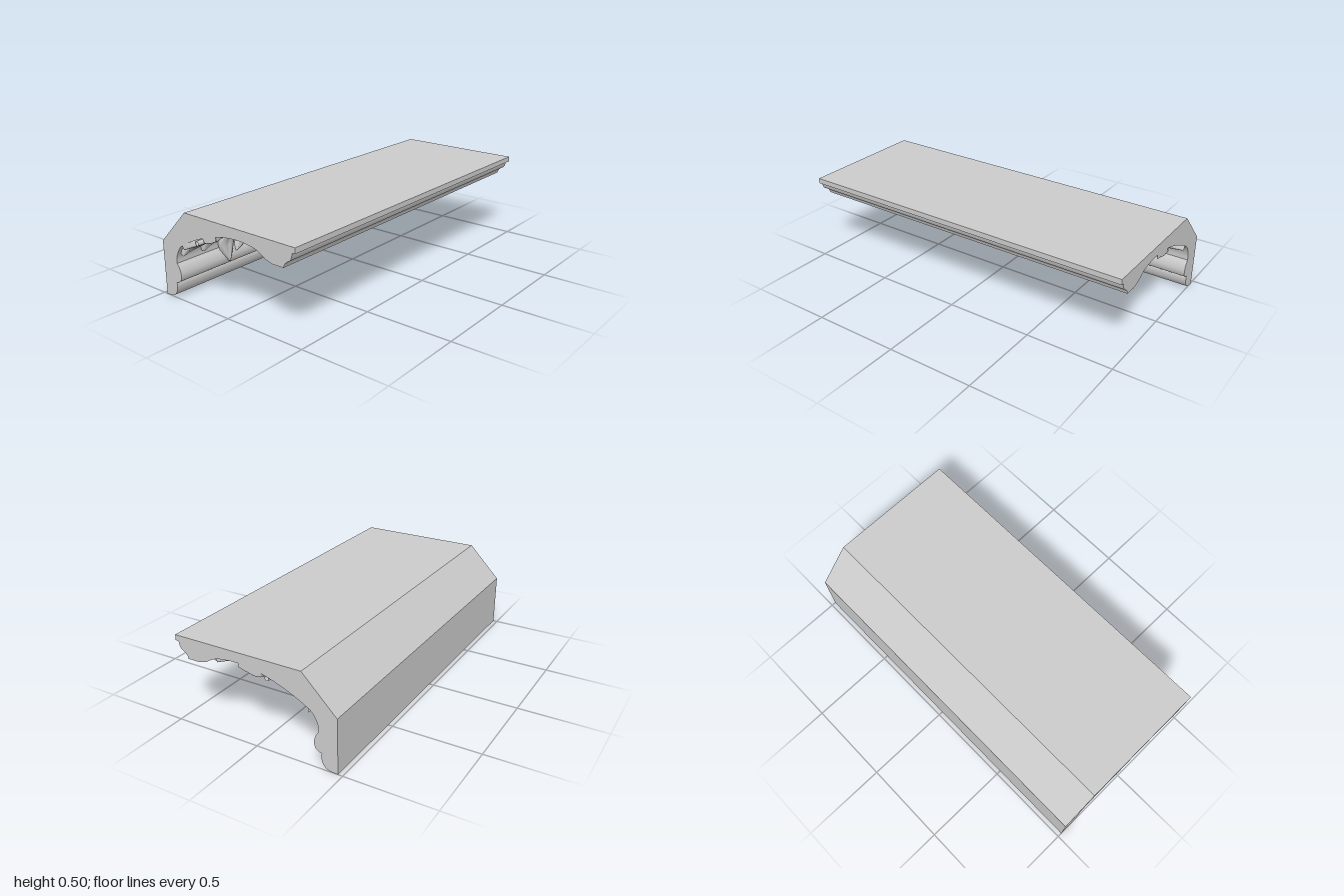
import * as THREE from 'three';
import { toCreasedNormals } from 'three/addons/utils/BufferGeometryUtils.js';

const grey = new THREE.MeshStandardMaterial({ color: 0xcccccc });
const leafGrey = new THREE.MeshStandardMaterial({ color: 0xcccccc, side: THREE.DoubleSide });
const v2 = (list) => list.map(([z, y]) => new THREE.Vector2(z, y));

// Guide curve across the cove, from the front lip over the top and down the back wall
const guide = new THREE.CatmullRomCurve3([
  [0.335, 0.385], [0.28, 0.397], [0.2, 0.435], [0.1, 0.443], [0, 0.435], [-0.1, 0.41], [-0.2, 0.372],
  [-0.28, 0.333], [-0.335, 0.29], [-0.357, 0.24], [-0.355, 0.18], [-0.345, 0.12], [-0.353, 0.06], [-0.37, 0.01],
].map(([z, y]) => new THREE.Vector3(0, y, z)));
const LEN = guide.getLength();

// Point at (x, distance s along the guide), lifted h off the surface
function onCove(x, s, h) {
  const u = THREE.MathUtils.clamp(s / LEN, 0, 1);
  const p = guide.getPointAt(u), t = guide.getTangentAt(u);
  return new THREE.Vector3(THREE.MathUtils.clamp(x, -1, 1), p.y + t.z * h, p.z - t.y * h);
}
const samples = guide.getSpacedPoints(300);
const nearest = (score) => {
  let best = 0;
  samples.forEach((p, i) => { if (score(p) < score(samples[best])) best = i; });
  return (best / 300) * LEN;
};
const atY = (y) => nearest((p) => Math.abs(p.y - y) + (p.z > -0.1 ? 1 : 0));
const atZ = (z) => nearest((p) => Math.abs(p.z - z));

// Domed leaf with a centre vein; its rim is turned down into the surface
function leaf(name, x0, s0, x1, s1, width, lift = 0.026) {
  const geo = new THREE.PlaneGeometry(1, 1, 14, 12), pos = geo.attributes.position;
  const dx = x1 - x0, ds = s1 - s0, len = Math.hypot(dx, ds);
  for (let i = 0; i < pos.count; i++) {
    const a = pos.getX(i) + 0.5, raw = pos.getY(i) * 2;
    const w = THREE.MathUtils.clamp(raw * 1.2, -1, 1);
    const half = width * 0.5 * Math.pow(Math.sin(Math.PI * Math.pow(a, 0.85)), 0.8) || 0;
    const bend = 0.08 * len * Math.sin(Math.PI * a);
    const off = w * half + bend;
    let h = 0.01 + lift * (0.35 + 0.65 * Math.sin(Math.PI * a)) * (1 - 0.6 * w * w)
      - 0.011 * Math.pow(1 - Math.abs(w), 3) * Math.sin(Math.PI * a);
    if (Math.abs(raw) > 0.99) h = -0.006;
    const p = onCove(x0 + dx * a - (ds / len) * off, s0 + ds * a + (dx / len) * off, h);
    pos.setXYZ(i, p.x, p.y, p.z);
  }
  geo.computeVertexNormals();
  const mesh = new THREE.Mesh(geo, leafGrey);
  mesh.name = name;
  return mesh;
}

// Stem laid along the cove through (x, s) points
function stem(name, points, radius) {
  const path = new THREE.CatmullRomCurve3(points.map(([x, s]) => onCove(x, s, 0.016)));
  const mesh = new THREE.Mesh(new THREE.TubeGeometry(path, points.length * 6, radius, 8), leafGrey);
  mesh.name = name;
  return mesh;
}

export function createModel() {
  const model = new THREE.Group();
  model.name = 'corniceMoulding';

  // Moulding body: one profile extruded along x
  const profile = new THREE.Shape();
  profile.moveTo(-0.475, 0);
  profile.lineTo(-0.44, 0.002);
  profile.splineThru(v2([[-0.41, 0.012], [-0.39, 0.038], [-0.383, 0.07], [-0.387, 0.09]]));
  profile.lineTo(-0.375, 0.092);
  profile.splineThru(v2([[-0.352, 0.108], [-0.344, 0.14], [-0.353, 0.175], [-0.371, 0.203]]));
  profile.splineThru(v2([[-0.369, 0.235], [-0.356, 0.27], [-0.33, 0.305], [-0.28, 0.336], [-0.2, 0.375],
    [-0.1, 0.412], [0, 0.436], [0.1, 0.445], [0.2, 0.436], [0.25, 0.418], [0.285, 0.397]]));
  profile.lineTo(0.33, 0.385);
  profile.lineTo(0.4, 0.385);
  profile.splineThru(v2([[0.407, 0.403], [0.425, 0.42], [0.443, 0.431], [0.452, 0.45], [0.457, 0.47]]));
  profile.lineTo(0.475, 0.472);
  profile.lineTo(0.475, 0.502);
  profile.lineTo(-0.283, 0.502);
  profile.lineTo(-0.475, 0.307);
  const body = new THREE.ExtrudeGeometry(profile, { depth: 2, bevelEnabled: false, curveSegments: 30 });
  body.rotateY(-Math.PI / 2).translate(1, 0, 0);
  const moulding = new THREE.Mesh(toCreasedNormals(body, 0.5), grey);
  moulding.name = 'moulding';
  model.add(moulding);

  // Hanging leaves on the back wall: base x, y, tip x, y, width
  const hanging = new THREE.Group();
  hanging.name = 'hangingLeaves';
  [
    [-0.64, 0.33, -0.67, 0.12, 0.1], [-0.4, 0.32, -0.61, 0.16, 0.09], [-0.46, 0.24, -0.3, 0.12, 0.1],
    [-0.45, 0.24, -0.29, 0.19, 0.09], [-0.42, 0.26, -0.28, 0.29, 0.09], [-0.8, 0.36, -0.98, 0.25, 0.1],
    [-0.72, 0.35, -0.84, 0.23, 0.08], [-0.88, 0.37, -1, 0.31, 0.07], [-0.54, 0.35, -0.72, 0.29, 0.08],
    [0, 0.3, -0.17, 0.15, 0.1], [0.03, 0.26, -0.02, 0.11, 0.08], [0.02, 0.22, 0.09, 0.11, 0.08],
    [0.1, 0.25, 0.23, 0.14, 0.09], [0.16, 0.27, 0.37, 0.31, 0.09], [0.15, 0.25, 0.33, 0.22, 0.08],
    [-0.02, 0.34, -0.21, 0.3, 0.08], [0.64, 0.27, 0.43, 0.2, 0.09], [0.58, 0.2, 0.4, 0.08, 0.09],
    [0.58, 0.15, 0.44, 0.03, 0.09], [0.58, 0.14, 0.68, 0.02, 0.1], [0.64, 0.24, 0.78, 0.13, 0.13],
    [0.66, 0.34, 0.45, 0.28, 0.08], [0.66, 0.27, 0.79, 0.25, 0.1], [0.84, 0.36, 0.99, 0.3, 0.07],
  ].forEach(([x0, y0, x1, y1, w]) => hanging.add(leaf('hangingLeaf', x0, atY(y0), x1, atY(y1), w)));
  model.add(hanging);

  // Winding vine and the sprig stems that drop from it
  const vineS = (x) => atZ(-0.15 + 0.07 * Math.sin(x * 8));
  const vines = new THREE.Group();
  vines.name = 'vines';
  vines.add(stem('mainVine', Array.from({ length: 21 }, (_, i) => [-0.99 + i * 0.099, vineS(-0.99 + i * 0.099)]), 0.014));
  [[-0.3, -0.46, 0.22], [0.22, 0.02, 0.2], [0.9, 0.57, 0.15]].forEach(([x0, x1, y]) => {
    const s0 = vineS(x0), s1 = atY(y);
    vines.add(stem('sprigStem', [[x0, s0], [x0 + (x1 - x0) * 0.35, s0 + (s1 - s0) * 0.55], [x1, s1]], 0.01));
  });
  vines.add(stem('hookedTwig', [[0.76, atY(0.35)], [0.82, atY(0.29)], [0.83, atY(0.22)]], 0.009));
  model.add(vines);

  // Leaves fanning over the top of the cove, alternating either side of the vine
  const upper = new THREE.Group();
  upper.name = 'upperLeaves';
  for (let i = 0; i < 16; i++) {
    const x = -0.93 + i * 0.124, side = i % 2 ? 1 : -1, s = vineS(x);
    upper.add(leaf('upperLeaf', x, s - 0.02, x + side * 0.1, s - 0.17, 0.09));
    upper.add(leaf('vineLeaf', x, s, x - side * 0.13, s + 0.05, 0.07));
  }
  // Three sprigs reaching forward to the lip
  [-0.62, 0.1, 0.8].forEach((x) => {
    const s0 = vineS(x), s1 = atZ(0.24), at = (k) => s0 + (s1 - s0) * k;
    upper.add(stem('forwardStem', [[x, s0], [x + 0.03, at(0.5)], [x + 0.08, s1]], 0.01));
    upper.add(leaf('tipLeaf', x + 0.08, at(0.95), x + 0.1, 0.01, 0.09));
    [0.3, 0.55, 0.8].forEach((k) => [-1, 1].forEach((side) =>
      upper.add(leaf('forwardLeaf', x + 0.08 * k, at(k), x + 0.06 * k + side * 0.13, at(k) - 0.08, 0.085))));
  });
  model.add(upper);
  return model;
}
